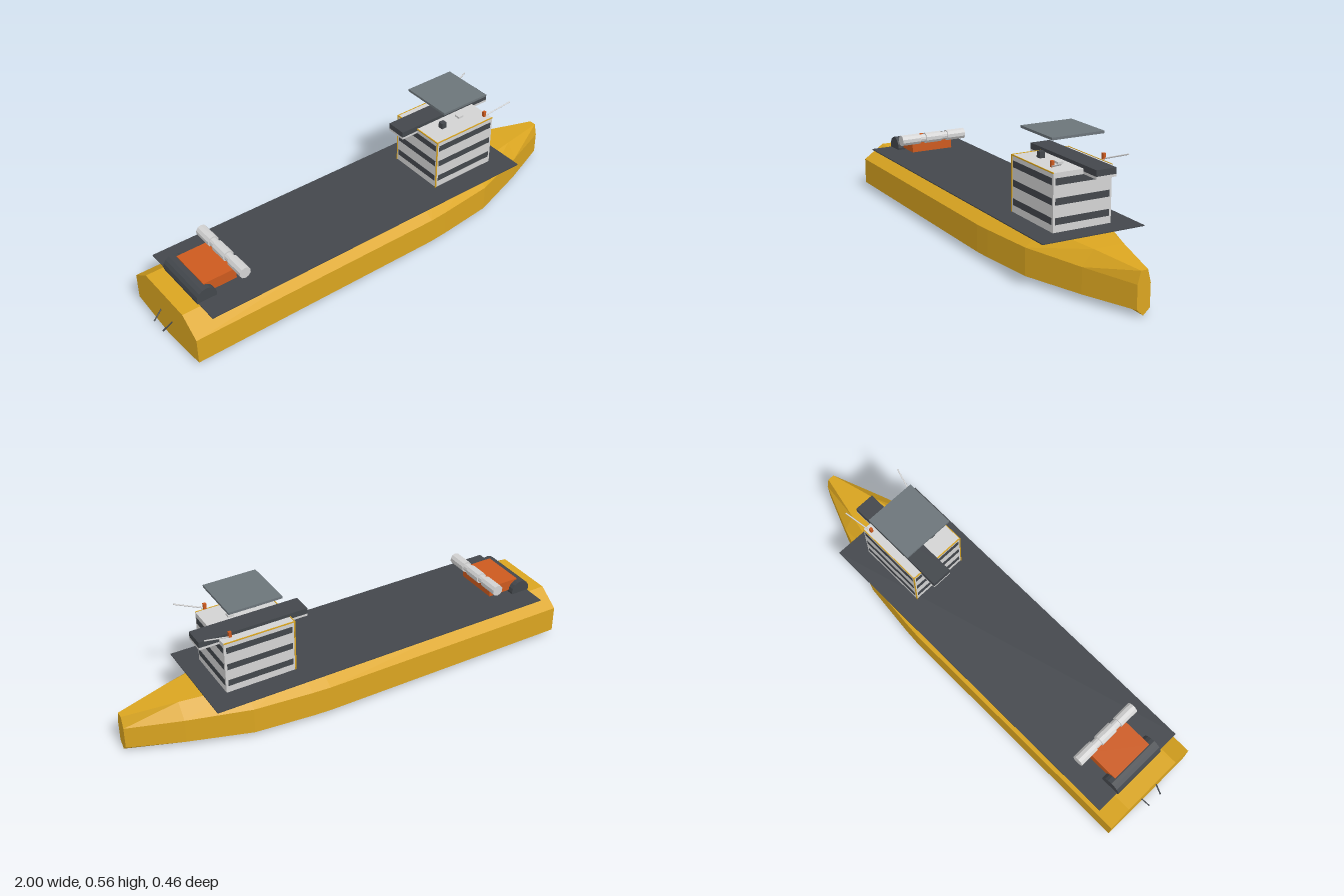
import * as THREE from 'three';

const mat = (name, color) => Object.assign(new THREE.MeshStandardMaterial({ color }), { name });

export function createModel() {
  const yellow = mat('hull yellow', 0xdaa520);
  const dark = mat('deck dark grey', 0x43474c);
  const light = mat('light grey', 0xd3d3d3);
  const orange = mat('safety orange', 0xcc5a1e);
  const steel = mat('pad grey', 0x6c757a);

  const model = new THREE.Group();
  model.name = 'cargoShip';

  const add = (name, geometry, material) => {
    const mesh = new THREE.Mesh(geometry, material);
    mesh.name = name;
    model.add(mesh);
    return mesh;
  };
  // Box given by its limits on each axis
  const box = (name, material, [x0, x1], [y0, y1], [z0, z1]) =>
    add(name, new THREE.BoxGeometry(x1 - x0, y1 - y0, z1 - z0), material)
      .position.set((x0 + x1) / 2, (y0 + y1) / 2, (z0 + z1) / 2);
  // Faceted cylinder lying across the ship
  const roller = (name, material, x, y, z, r, length, sides) => {
    const g = new THREE.CylinderGeometry(r, r, length, sides).rotateX(Math.PI / 2).toNonIndexed();
    g.computeVertexNormals();
    add(name, g, material).position.set(x, y, z);
  };
  const rod = (name, material, from, to, r) => {
    const a = new THREE.Vector3(...from), b = new THREE.Vector3(...to);
    const mesh = add(name, new THREE.CylinderGeometry(r, r, a.distanceTo(b), 6), material);
    mesh.position.copy(a).add(b).multiplyScalar(0.5);
    mesh.quaternion.setFromUnitVectors(new THREE.Vector3(0, 1, 0), b.sub(a).normalize());
  };

  // Hull stations: x, half width, knuckle height, top half width, top height
  const stations = [
    [-0.96, 0.23, 0.14, 0.138, 0.204],
    [0.19, 0.23, 0.14, 0.138, 0.204],
    [0.27, 0.225, 0.14, 0.135, 0.204],
    [0.52, 0.2, 0.139, 0.118, 0.204],
    [0.78, 0.115, 0.13, 0.065, 0.19],
    [1.0, 0.028, 0.12, 0.015, 0.17],
  ];
  const rings = stations.map(([x, w, ky, tw, ty]) => [
    [x, 0, 0], [x, 0.025, w], [x, ky, w], [x, ty, tw], [x, ty, -tw], [x, ky, -w], [x, 0.025, -w],
  ]);
  const pos = [];
  const n = rings[0].length;
  for (let i = 0; i < rings.length - 1; i++) {
    for (let j = 0; j < n; j++) {
      const k = (j + 1) % n;
      const a = rings[i][j], b = rings[i][k], c = rings[i + 1][k], d = rings[i + 1][j];
      pos.push(...a, ...d, ...c, ...a, ...c, ...b);
    }
  }
  const stern = rings[0], bow = rings[rings.length - 1];
  for (let j = 1; j < n - 1; j++) {
    pos.push(...stern[0], ...stern[j], ...stern[j + 1], ...bow[0], ...bow[j + 1], ...bow[j]);
  }
  const hull = new THREE.BufferGeometry();
  hull.setAttribute('position', new THREE.Float32BufferAttribute(pos, 3));
  hull.computeVertexNormals();
  add('hull', hull, yellow);

  box('deck', dark, [-0.88, 0.685], [0.203, 0.207], [-0.225, 0.225]);

  // Deckhouse with three window bands on every side
  box('deckhouse', light, [0.293, 0.6], [0.207, 0.438], [-0.129, 0.129]);
  for (const y of [0.237, 0.313, 0.39]) {
    for (const s of [-1, 1]) {
      add('sideWindows', new THREE.BoxGeometry(0.287, 0.027, 0.003), dark)
        .position.set(0.447, y + 0.0135, s * 0.129);
    }
    for (const x of [0.293, 0.6]) {
      add('endWindows', new THREE.BoxGeometry(0.003, 0.027, 0.24), dark)
        .position.set(x, y + 0.0135, 0);
    }
  }

  // Yellow trim along the deckhouse edges
  for (const s of [-1, 1]) {
    const z = [s * 0.129 - 0.0015, s * 0.129 + 0.0015];
    box('cornerTrim', yellow, [0.29, 0.296], [0.207, 0.44], z);
    box('roofTrim', yellow, [0.29, 0.6], [0.435, 0.44], z);
  }
  box('aftRoofTrim', yellow, [0.29, 0.294], [0.435, 0.44], [-0.129, 0.129]);

  // Bridge beam overhanging both ends of the roof
  box('bridgeBeam', dark, [0.213, 0.685], [0.427, 0.452], [-0.09, -0.002]);
  box('bridgeFloor', light, [0.213, 0.685], [0.417, 0.427], [-0.09, -0.002]);

  // Roof equipment and raised landing pad
  box('roofVent', dark, [0.373, 0.397], [0.438, 0.464], [0.042, 0.065]);
  box('roofHatch', light, [0.48, 0.505], [0.438, 0.447], [0.026, 0.05]);
  box('landingPad', steel, [0.335, 0.565], [0.552, 0.562], [-0.115, 0.115]);

  // Cranes with orange posts and slanted arms
  for (const s of [-1, 1]) {
    box('cranePost', orange, [0.559, 0.571], [0.452, 0.476], [s * 0.114 - 0.006, s * 0.114 + 0.006]);
    rod('craneArm', light, [0.56, 0.452, s * 0.115], [0.683, 0.494, s * 0.145], 0.003);
    rod('sternRod', dark, [-0.955, 0.098, s * 0.045], [-0.999, 0.062, s * 0.034], 0.003);
  }

  // Stern winch: drum housing, orange base and roller
  roller('winchDrum', dark, -0.842, 0.217, 0, 0.045, 0.25, 16);
  box('winchBase', orange, [-0.838, -0.692], [0.217, 0.265], [-0.1, 0.1]);
  roller('rollerCore', light, -0.687, 0.281, 0, 0.019, 0.31, 12);
  for (const z of [-0.115, 0, 0.115]) {
    roller('rollerSection', light, -0.687, 0.281, z, 0.025, z ? 0.09 : 0.08, 10);
  }

  return model;
}
